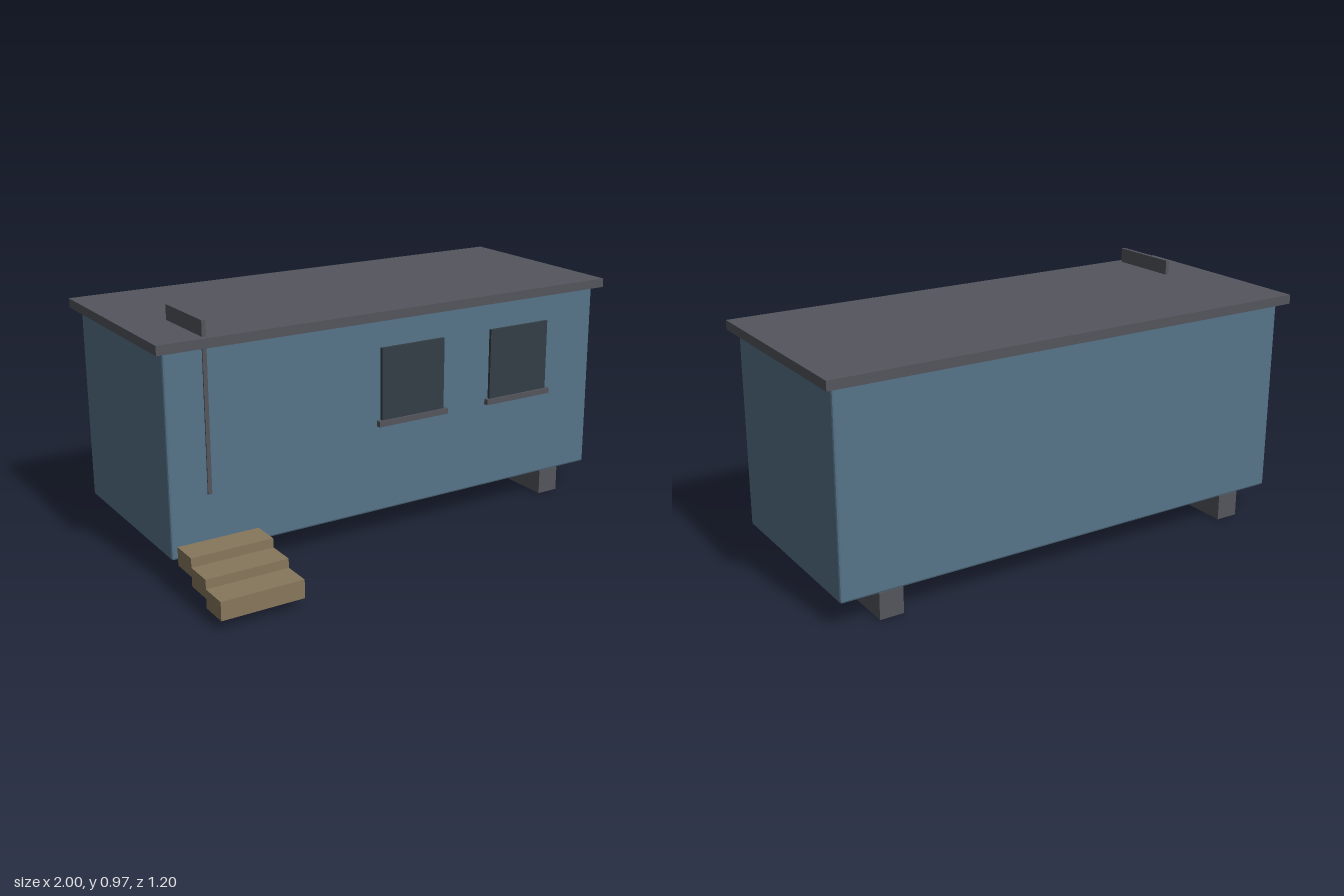
import * as THREE from 'three';
import { RoundedBoxGeometry } from 'three/addons/geometries/RoundedBoxGeometry.js';

const paint = (color, flatShading = false) => {
  const material = new THREE.MeshStandardMaterial({ flatShading });
  material.color.set(color);
  return material;
};

export function createModel() {
  const model = new THREE.Group();
  model.name = 'cabin';
  const blue = paint(0x557389, true);
  const grey = paint(0x53555d);
  const glass = paint(0x333e45);
  const wood = paint(0x87775b);

  // Adds a geometry centred between two limits on each axis
  const place = (name, geometry, material, [x0, x1], [y0, y1], [z0, z1]) => {
    const mesh = new THREE.Mesh(geometry, material);
    mesh.name = name;
    mesh.position.set((x0 + x1) / 2, (y0 + y1) / 2, (z0 + z1) / 2);
    model.add(mesh);
    return mesh;
  };
  const box = (name, material, x, y, z) =>
    place(name, new THREE.BoxGeometry(x[1] - x[0], y[1] - y[0], z[1] - z[0]), material, x, y, z);

  // Walls with a small chamfer on every edge
  place('walls', new RoundedBoxGeometry(1.932, 0.774, 0.772, 1, 0.008), blue,
    [-0.966, 0.966], [0.101, 0.875], [-0.565, 0.207]);

  // Overhanging flat roof
  box('roof', grey, [-1, 1], [0.874, 0.91], [-0.602, 0.238]);

  // Skids running front to back under the floor
  for (const side of [-1, 1]) {
    box(side < 0 ? 'rightSkid' : 'leftSkid', grey,
      [side * 0.773 - 0.047, side * 0.773 + 0.047], [0, 0.102], [-0.565, 0.207]);
  }

  // Windows with sills
  for (const x of [0.063, 0.579]) {
    box('window', glass, [x - 0.144, x + 0.144], [0.472, 0.763], [0.19, 0.219]);
    box('windowSill', grey, [x - 0.16, x + 0.16], [0.453, 0.476], [0.19, 0.227]);
  }

  // Door slab swung inward, its top edge rising through the roof
  const door = box('door', grey, [-0.82, -0.804], [0.327, 0.969], [-0.078, 0.212]);
  door.rotation.y = 0.018;

  // Entrance steps descending away from the wall
  for (let i = 0; i < 3; i++) {
    const top = 0.179 - i * 0.0355, back = 0.264 + i * 0.1125;
    box('step', wood, [-0.968, -0.647], [top - 0.071, top], [back, back + 0.1125]);
  }

  return model;
}
